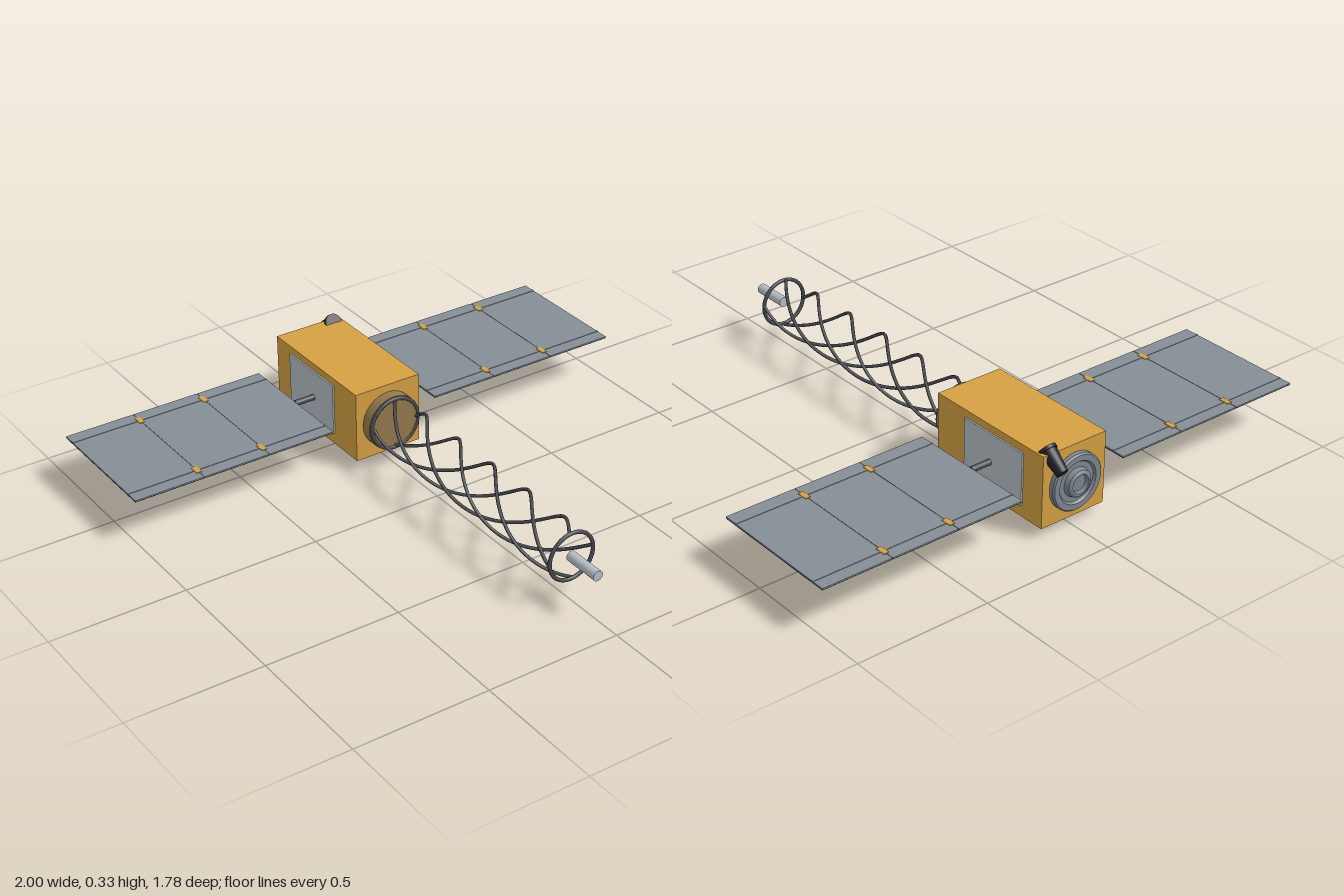
import * as THREE from 'three';

const mat = (name, color, side = THREE.FrontSide) => {
  const m = new THREE.MeshStandardMaterial({ color, side });
  m.name = name;
  return m;
};

export function createModel() {
  const root = new THREE.Group();
  root.name = 'satellite';
  const gold = mat('goldFoil', 0xd4a043);
  const bronze = mat('bronze', 0x94794c);
  const panelGrey = mat('panelGrey', 0x868e96);
  const cellBlack = mat('cellBlack', 0x16151c);
  const silver = mat('radiatorSilver', 0xb6bec6);
  const steel = mat('steel', 0x7d858d);
  const dark = mat('darkStrut', 0x484b50);
  const black = mat('black', 0x22222a);
  const CY = 0.169;

  const add = (name, geo, material, x = 0, y = 0, z = 0, parent = root) => {
    const m = new THREE.Mesh(geo, material);
    m.name = name;
    m.position.set(x, y, z);
    parent.add(m);
    return m;
  };
  const box = (name, w, h, d, material, x, y, z, parent) =>
    add(name, new THREE.BoxGeometry(w, h, d), material, x, y, z, parent);
  // cylinder between two points
  const rod = (name, a, b, ra, rb, material) => {
    const p = new THREE.Vector3(...a), q = new THREE.Vector3(...b);
    const dir = q.clone().sub(p);
    const m = add(name, new THREE.CylinderGeometry(rb, ra, dir.length(), 32), material);
    m.position.copy(p).add(q).multiplyScalar(0.5);
    m.quaternion.setFromUnitVectors(new THREE.Vector3(0, 1, 0), dir.normalize());
    return m;
  };

  // bus
  box('body', 0.266, 0.268, 0.525, gold, 0, CY, -0.5675);

  // front collar carrying the boom
  rod('frontCollar', [0, CY, -0.31], [0, CY, -0.265], 0.105, 0.105, bronze);
  rod('collarFace', [0, CY, -0.27], [0, CY, -0.258], 0.1, 0.1, bronze);
  add('collarRing', new THREE.TorusGeometry(0.097, 0.007, 10, 48), dark, 0, CY, -0.26);

  // helical boom: four strands winding at equal spacing
  const z0 = -0.26, z1 = 0.755, pitch = 0.8, R = 0.088;
  for (let k = 0; k < 4; k++) {
    const pts = [];
    for (let i = 0; i <= 40; i++) {
      const z = z0 + (z1 - z0) * i / 40;
      const t = (z - 0.74) / pitch * Math.PI * 2 + k * Math.PI / 2;
      pts.push(new THREE.Vector3(Math.cos(t) * R, CY + Math.sin(t) * R, z));
    }
    add('boomStrand', new THREE.TubeGeometry(new THREE.CatmullRomCurve3(pts), 120, 0.006, 8), dark);
  }
  add('boomEndRing', new THREE.TorusGeometry(R, 0.007, 10, 48), dark, 0, CY, 0.757);
  rod('boomTip', [0, CY, 0.755], [0, CY, 0.895], 0.019, 0.019, silver);

  // stepped round fittings on the back and underside
  const lathe = (name, pts, material) =>
    add(name, new THREE.LatheGeometry(pts.map(p => new THREE.Vector2(...p)), 48).toNonIndexed(), material);
  const flat = m => { m.geometry.computeVertexNormals(); return m; };

  const nozzle = new THREE.Group();
  nozzle.name = 'rearFitting';
  nozzle.position.set(0, CY, -0.83);
  nozzle.rotation.x = -Math.PI / 2;
  root.add(nozzle);
  [
    flat(lathe('rearFlange', [[0.104, 0], [0.104, 0.016], [0.099, 0.021], [0.078, 0.021], [0.072, 0.013], [0, 0.013]], steel)),
    flat(lathe('rearInnerRing', [[0.054, 0.01], [0.048, 0.03], [0.04, 0.035], [0.034, 0.035], [0.03, 0.022], [0, 0.022]], steel)),
  ].forEach(m => nozzle.add(m));

  const dish = new THREE.Group();
  dish.name = 'bottomAntenna';
  dish.position.set(0, 0.036, -0.585);
  dish.rotation.x = Math.PI;
  root.add(dish);
  [
    flat(lathe('antennaRim', [[0.107, 0], [0.107, 0.018], [0.1, 0.024], [0.082, 0.036], [0.074, 0.036], [0.07, 0.026]], steel)),
    flat(lathe('antennaFace', [[0.072, 0.026], [0, 0.03]], dark)),
  ].forEach(m => dish.add(m));

  // tilted sensor at the rear top edge
  rod('sensorBase', [0.092, 0.305, -0.797], [0.092, 0.298, -0.807], 0.033, 0.033, black);
  rod('sensorBarrel', [0.092, 0.298, -0.807], [0.092, 0.249, -0.876], 0.029, 0.021, black);

  // radiators, arms and solar wings, mirrored
  const seams = [0.215, 0.477, 0.735, 1.0];
  for (const s of [1, -1]) {
    const side = s > 0 ? 'left' : 'right';
    box(side + 'Radiator', 0.008, 0.197, 0.288, silver, s * 0.135, 0.177, -0.592);
    rod(side + 'Arm', [s * 0.13, CY, -0.578], [s * 0.218, CY, -0.578], 0.011, 0.011, dark);
    const wing = new THREE.Group();
    wing.name = side + 'SolarWing';
    root.add(wing);
    for (let i = 0; i < 3; i++) {
      const w = seams[i + 1] - seams[i] - 0.003;
      const x = s * (seams[i] + seams[i + 1]) / 2;
      box('panelBack', w, 0.004, 0.505, panelGrey, x, 0.173, -0.5775, wing);
      // two rows of cells underneath
      for (const z of [-0.704, -0.451]) box('solarCells', w, 0.003, 0.25, cellBlack, x, 0.1695, z, wing);
      for (const z of [-0.78, -0.378]) box('panelRib', w, 0.003, 0.008, panelGrey, x, 0.1755, z, wing);
    }
    for (const x of [seams[1], seams[2]]) {
      box('seam', 0.003, 0.003, 0.505, dark, s * x, 0.1725, -0.5775, wing);
      for (const z of [-0.78, -0.378]) box('hinge', 0.02, 0.009, 0.04, gold, s * x, 0.173, z, wing);
    }
  }
  return root;
}
